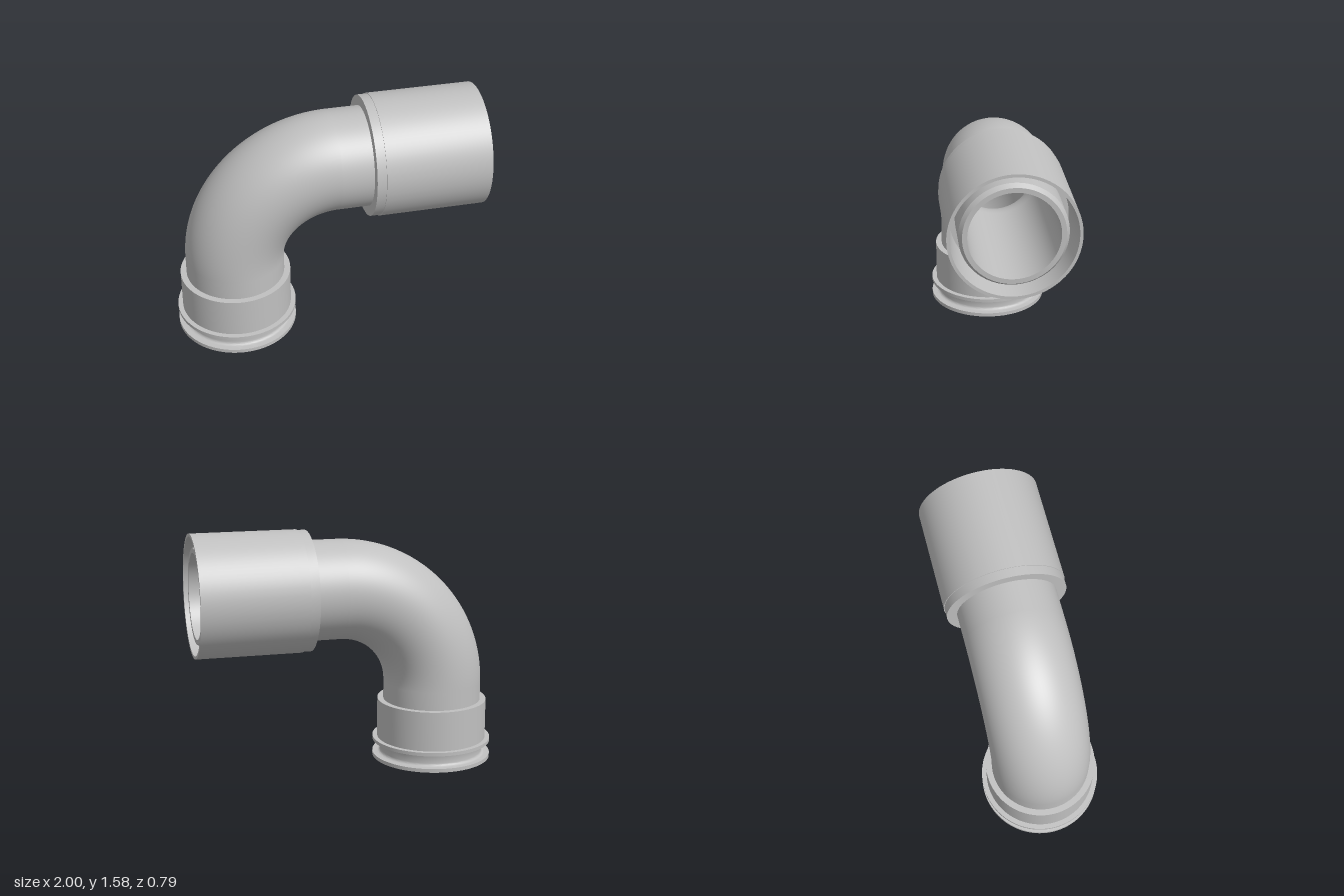
import * as THREE from 'three';
import { toCreasedNormals } from 'three/addons/utils/BufferGeometryUtils.js';

const SEGMENTS = 96;
const AXIS_X = -0.603;   // axis of the vertical end
const AXIS_Y = 1.178;    // axis of the horizontal end
const BEND = 0.653;      // bend radius of the elbow
const OUTER = 0.325;
const BORE = 0.275;

export function createModel() {
  const group = new THREE.Group();
  group.name = 'pipeElbow';
  const grey = new THREE.MeshStandardMaterial({ color: 0xc0c0c0, side: THREE.DoubleSide });
  grey.name = 'light grey';

  const add = (name, geometry) => {
    const mesh = new THREE.Mesh(geometry, grey);
    mesh.name = name;
    group.add(mesh);
    return mesh;
  };
  // Turned part from [radius, height] pairs, with sharp edges kept
  const turned = (name, profile) => {
    const points = profile.map(([r, h]) => new THREE.Vector2(r, h));
    return add(name, toCreasedNormals(new THREE.LatheGeometry(points, SEGMENTS), 0.5));
  };
  const upright = (name, profile) => turned(name, profile).position.set(AXIS_X, 0, 0);
  const sideways = (name, profile) => {
    const mesh = turned(name, profile);
    mesh.rotation.z = -Math.PI / 2;
    mesh.position.y = AXIS_Y;
  };

  const bendX = AXIS_X + BEND;
  const bendY = AXIS_Y - BEND;

  // Quarter bend, outside and inside walls
  for (const [name, radius] of [['bendOuterWall', OUTER], ['bendInnerWall', BORE]]) {
    const bend = add(name, new THREE.TorusGeometry(BEND, radius, SEGMENTS, 48, Math.PI / 2));
    bend.rotation.z = Math.PI / 2;
    bend.position.set(bendX, bendY, 0);
  }

  // Lower end: bottom flange, filleted groove, upper flange, collar, bore
  const fillet = 0.02;
  const grooveR = 0.343;
  const lowFillet = [], highFillet = [];
  for (let i = 0; i <= 5; i++) {
    const a = (i / 5) * Math.PI / 2;
    lowFillet.push([grooveR + fillet * (1 - Math.sin(a)), 0.025 + fillet * (1 - Math.cos(a))]);
    highFillet.push([grooveR + fillet * (1 - Math.cos(a)), 0.112 - fillet * (1 - Math.sin(a))]);
  }
  upright('lowerCollar', [
    [0.315, 0], [0.397, 0], [0.397, 0.025], ...lowFillet, ...highFillet,
    [0.397, 0.112], [0.397, 0.135], [0.365, 0.135], [0.365, 0.4], [OUTER, 0.4],
  ]);
  upright('lowerPipe', [[OUTER, 0.4], [OUTER, bendY]]);
  upright('lowerBore', [[BORE, bendY], [BORE, 0.27], [0.315, 0.23], [0.315, 0]]);

  // Horizontal pipe running through the sleeve to its chamfered mouth
  sideways('upperPipe', [
    [OUTER, bendX], [OUTER, 0.95], [0.305, 0.98], [BORE, 0.98], [BORE, bendX],
  ]);

  // Socket sleeve around the pipe, with a tapered inside
  sideways('sleeve', [
    [OUTER, 0.255], [0.392, 0.255], [0.392, 0.315], [0.397, 0.315], [0.397, 1],
    [0.378, 1], [0.358, 0.7], [OUTER, 0.7],
  ]);

  return group;
}
